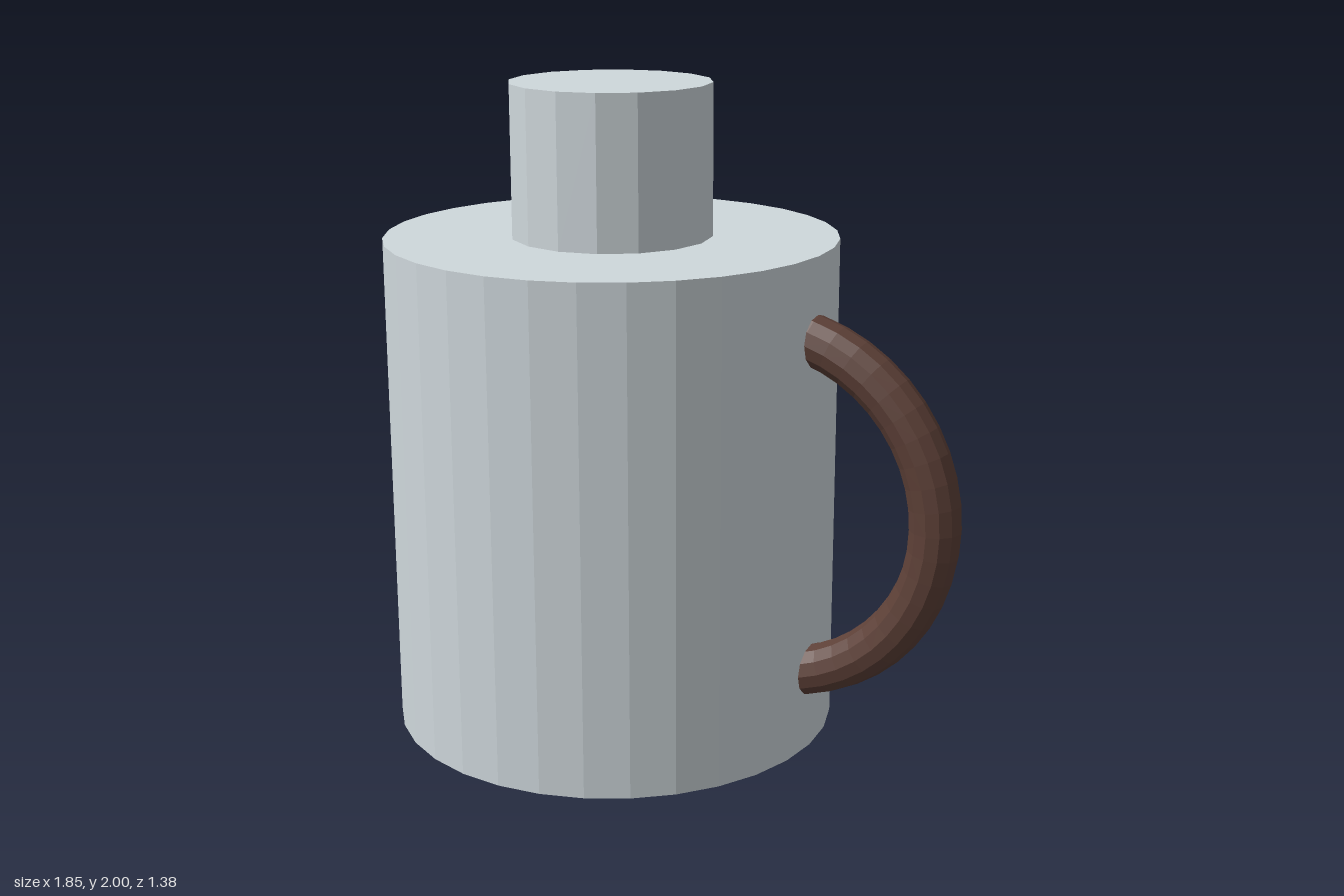
import * as THREE from 'three';

export function createModel() {
  const model = new THREE.Group();
  const shell = new THREE.MeshStandardMaterial({ color: 0xcfd8dc, flatShading: true });
  const brown = new THREE.MeshStandardMaterial({ color: 0x5d4037, flatShading: true });
  const axisX = -0.231, bodyHeight = 1.538, neckHeight = 0.462;

  const add = (name, geometry, material, x, y) => {
    const mesh = new THREE.Mesh(geometry, material);
    mesh.name = name;
    mesh.position.set(x, y, 0);
    model.add(mesh);
    return mesh;
  };

  // Wide round body with a narrow neck standing on it
  add('body', new THREE.CylinderGeometry(0.692, 0.692, bodyHeight, 32), shell, axisX, bodyHeight / 2);
  add('neck', new THREE.CylinderGeometry(0.308, 0.308, neckHeight, 16), shell, axisX, bodyHeight + neckHeight / 2);

  // Half-ring handle on the left, its ends sunk into the body
  const handle = add('handle', new THREE.TorusGeometry(0.538, 0.077, 12, 24, Math.PI), brown, 0.308, bodyHeight / 2);
  handle.rotation.z = -Math.PI / 2;

  return model;
}
